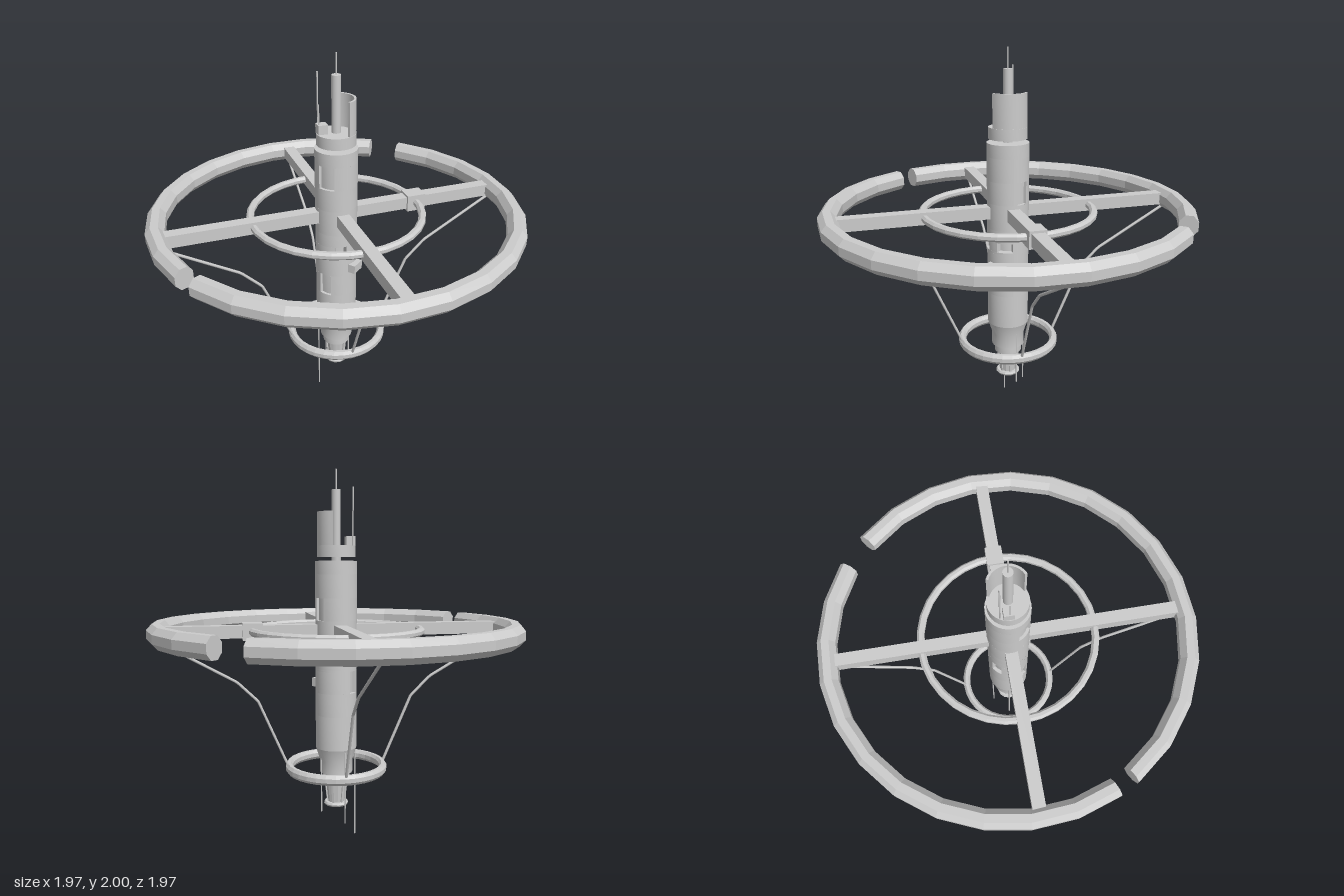
import * as THREE from 'three';
import { toCreasedNormals } from 'three/addons/utils/BufferGeometryUtils.js';

const smooth = new THREE.MeshStandardMaterial({ color: 0xcccccc, side: THREE.DoubleSide });
const faceted = new THREE.MeshStandardMaterial({ color: 0xcccccc, side: THREE.DoubleSide, flatShading: true });
const RAD = Math.PI / 180;
const v2 = (pts) => pts.map(([x, y]) => new THREE.Vector2(x, y));

function add(parent, name, geometry, material = smooth) {
  const mesh = new THREE.Mesh(geometry, material);
  mesh.name = name;
  parent.add(mesh);
  return mesh;
}

// Revolve a profile between two angles (0 = +x, 90 = -z, in degrees)
function revolve(pts, a0 = 0, a1 = 360, fullSegments = 32) {
  const segments = Math.max(1, Math.round((a1 - a0) / 360 * fullSegments));
  const geo = new THREE.LatheGeometry(v2(pts), segments, (a0 + 90) * RAD, (a1 - a0) * RAD);
  return toCreasedNormals(geo, 0.6);
}

// Closed polygon section for a ring tube, flats facing up and out
function tubeSection(radius, rx, ry, sides = 8) {
  const pts = [];
  for (let i = 0; i <= sides; i++) {
    const t = (i + 0.5) / sides * Math.PI * 2;
    pts.push([radius + rx * Math.cos(t), ry * Math.sin(t)]);
  }
  return pts;
}

// Flat radial wall standing at an angle, cut to an outline in (radius, height)
function radialFace(parent, name, outline, angle, material) {
  const face = add(parent, name, new THREE.ShapeGeometry(new THREE.Shape(v2(outline))), material);
  face.rotation.y = angle * RAD;
}

function rod(parent, name, x, z, y0, y1, r = 0.004) {
  add(parent, name, new THREE.CylinderGeometry(r, r, y1 - y0, 8)).position.set(x, (y0 + y1) / 2, z);
}

function box(parent, name, size, pos, turn = 0) {
  const mesh = add(parent, name, new THREE.BoxGeometry(...size), faceted);
  mesh.position.set(...pos);
  mesh.rotation.y = turn * RAD;
}

// Cylindrical hull whose wall is opened by recessed windows
function buildHull(parent) {
  const R = 0.112, bottom = 0.51, top = 1.525;
  const windows = [
    { a0: 200, a1: 235, y0: 0.695, y1: 0.82, depth: 0.015 },
    { a0: 120, a1: 152, y0: 0.82, y1: 0.94, depth: 0.02 },
    { a0: 249, a1: 280, y0: 0.95, y1: 1.0, depth: 0.035 },
    { a0: 312, a1: 358, y0: 0.95, y1: 1.0, depth: 0.035 },
    { a0: 40, a1: 86, y0: 1.0, y1: 1.07, depth: 0.035 },
    { a0: 10, a1: 42, y0: 1.21, y1: 1.33, depth: 0.015 },
    { a0: 200, a1: 246, y0: 1.33, y1: 1.455, depth: 0.015 },
  ];
  const hull = new THREE.Group();
  hull.name = 'hull';
  parent.add(hull);

  const levels = [...new Set([bottom, top, ...windows.flatMap((w) => [w.y0, w.y1])])].sort((a, b) => a - b);
  for (let i = 0; i < levels.length - 1; i++) {
    const [y0, y1] = [levels[i], levels[i + 1]];
    const gaps = windows.filter((w) => w.y0 <= y0 && w.y1 >= y1).sort((a, b) => a.a0 - b.a0);
    let start = 0;
    for (const g of [...gaps, { a0: 360 }]) {
      add(hull, 'hullWall', revolve([[R, y0], [R, y1]], start, g.a0));
      start = g.a1;
    }
  }
  for (const { a0, a1, y0, y1, depth } of windows) {
    const r = R - depth;
    add(hull, 'windowRecess', revolve([[R, y0], [r, y0], [r, y1], [R, y1]], a0, a1));
    for (const a of [a0, a1]) radialFace(hull, 'windowSide', [[r, y0], [R, y0], [R, y1], [r, y1]], a, smooth);
  }
  add(hull, 'hullRoof', revolve([[R, top], [0, top]]));
  add(hull, 'hullTaper', revolve([[0.075, 0.37], [0.09, 0.37], [0.09, 0.44], [R, bottom]]));
}

export function createModel() {
  const model = new THREE.Group();
  model.name = 'ringStation';
  const ringY = 1.157;

  buildHull(model);

  // Lower collar and ribbed engine nozzle
  add(model, 'engineCollar', revolve([[0, 0.325], [0.075, 0.325], [0.075, 0.372]]));
  add(model, 'nozzle', revolve([
    [0, 0.24], [0.035, 0.24], [0.05, 0.18], [0.062, 0.18], [0.068, 0.19], [0.062, 0.2], [0.046, 0.2], [0.06, 0.325],
  ], 0, 360, 12), faceted);
  for (let i = 0; i < 6; i++) {
    const rib = new THREE.Group();
    rib.rotation.y = i * Math.PI / 3;
    model.add(rib);
    const mesh = add(rib, 'nozzleRib', new THREE.BoxGeometry(0.01, 0.125, 0.012), faceted);
    mesh.position.set(0.053, 0.262, 0);
    mesh.rotation.z = -0.11;
  }

  // Outer ring in two arcs with closed ends
  const outer = tubeSection(0.94, 0.052, 0.058);
  for (const [a0, a1] of [[56.5, 204], [210, 405.5]]) {
    const arc = new THREE.Group();
    arc.name = 'outerRing';
    arc.position.y = ringY;
    model.add(arc);
    add(arc, 'outerRingArc', revolve(outer, a0, a1, 26), faceted);
    for (const a of [a0, a1]) radialFace(arc, 'outerRingEnd', outer.slice(0, -1), a, faceted);
  }

  // Inner and lower rings
  add(model, 'innerRing', revolve(tubeSection(0.456, 0.021, 0.021), 0, 360, 32), faceted).position.y = ringY;
  add(model, 'lowerRing', revolve(tubeSection(0.259, 0.022, 0.029), 0, 360, 32), faceted).position.y = 0.398;
  box(model, 'ringJunction', [0.105, 0.09, 0.09], [0.45, ringY, 0]);

  // Four spokes, each with a bent brace down to the lower ring
  const bracePoints = [[0.93, 1.11], [0.535, 0.887], [0.425, 0.78], [0.265, 0.41]];
  const bracePath = new THREE.CurvePath();
  for (let i = 0; i < 3; i++) {
    bracePath.add(new THREE.LineCurve3(
      new THREE.Vector3(...bracePoints[i], 0), new THREE.Vector3(...bracePoints[i + 1], 0)));
  }
  for (let i = 0; i < 4; i++) {
    const arm = new THREE.Group();
    arm.name = 'arm';
    arm.rotation.y = i * Math.PI / 2;
    model.add(arm);
    box(arm, 'spoke', [0.82, 0.066, 0.066], [0.505, ringY, 0]);
    add(arm, 'brace', new THREE.TubeGeometry(bracePath, 48, 0.008, 6));
  }

  // Top platform with curved shield, mast and aerials
  rod(model, 'neck', 0, 0, 1.52, 1.55, 0.026);
  add(model, 'topPlatform', revolve([[0, 1.545], [0.102, 1.545], [0.102, 1.605], [0, 1.605]]));
  const shield = [[0.088, 1.605], [0.1, 1.605], [0.1, 1.78], [0.088, 1.78], [0.088, 1.605]];
  add(model, 'shield', revolve(shield, -68, 68));
  for (const a of [-68, 68]) radialFace(model, 'shieldEdge', shield.slice(0, -1), a, smooth);
  add(model, 'mast', new THREE.CylinderGeometry(0.024, 0.024, 0.29, 20)).position.y = 1.75;
  rod(model, 'mastTip', 0, 0, 1.89, 2.0);
  box(model, 'aerialBox', [0.05, 0.05, 0.05], [-0.073, 1.628, -0.01]);
  rod(model, 'tallAerial', -0.08, -0.05, 1.6, 1.905);
  rod(model, 'shortAerial', -0.09, -0.005, 1.65, 1.755);

  // Sensor box on the hull and aerials hanging below
  box(model, 'sensorBox', [0.08, 0.048, 0.06], [0.068, 0.86, 0.09], 40);
  rod(model, 'longLowerAerial', -0.105, -0.01, 0, 0.515);
  rod(model, 'rearLowerAerial', -0.03, -0.1, 0.1, 0.515);
  rod(model, 'shortLowerAerial', 0.087, -0.025, 0.15, 0.515);

  return model;
}
